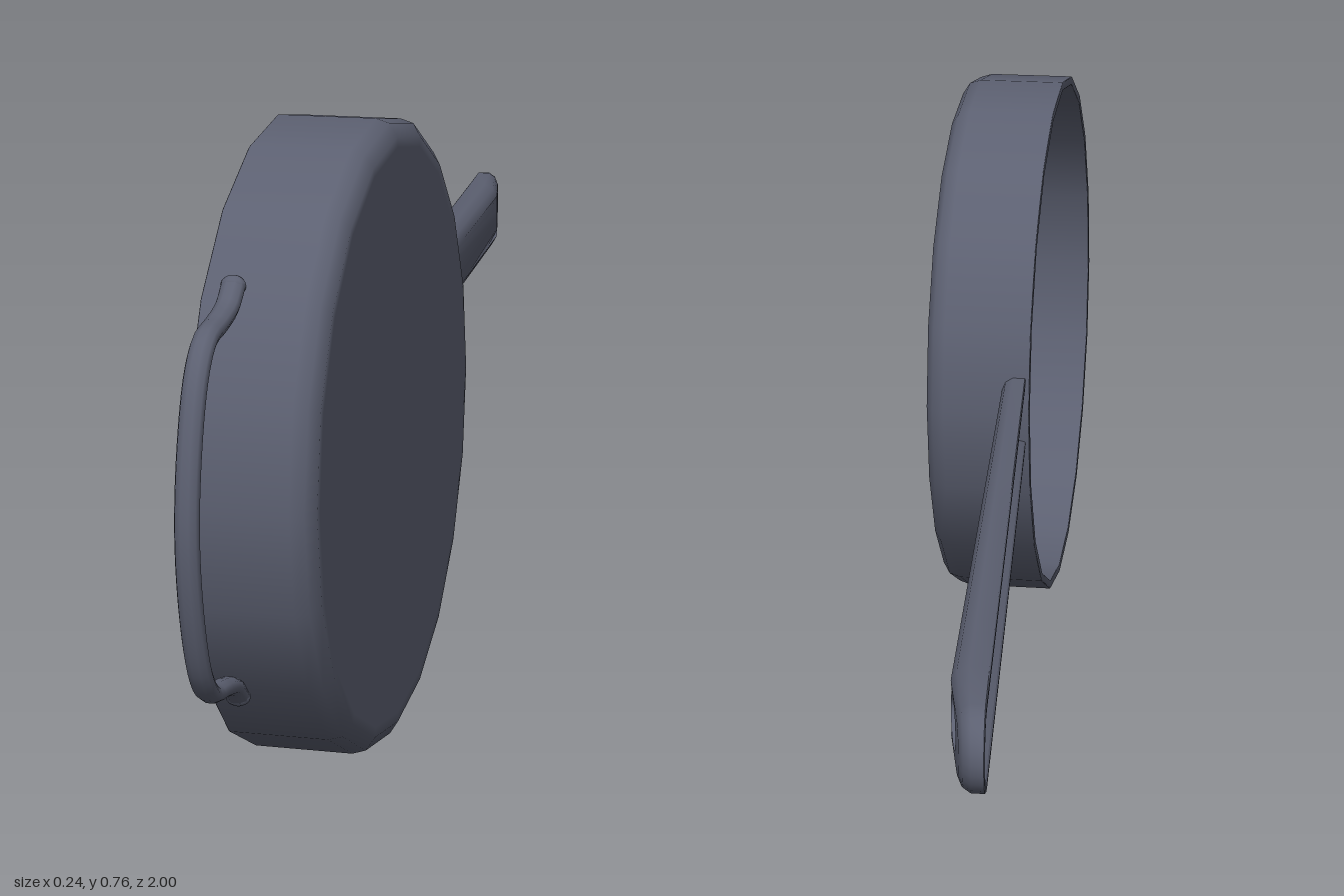
import * as THREE from 'three';
import { toCreasedNormals } from 'three/addons/utils/BufferGeometryUtils.js';

const CY = 0.38, CZ = 0.514; // centre of the pan disc

// Lathed body: inner floor, inner wall, rim, outer wall, rounded base
function panGeometry() {
  const profile = [
    [0, 0.106], [0.342, 0.106], [0.36, 0.098], [0.365, 0.085], [0.366, -0.024],
    [0.367, -0.025], [0.377, -0.025], [0.378, -0.024],
    [0.378, 0.094], [0.373, 0.11], [0.357, 0.12], [0.345, 0.12], [0, 0.12],
  ].map(([r, h]) => new THREE.Vector2(r, h));
  const geo = new THREE.LatheGeometry(profile, 20);
  geo.rotateZ(-Math.PI / 2);
  return geo;
}

// Long handle: closed loops around the outline, from the hanging hole out
// over the back, around the edge and into the channel
function handleGeometry() {
  const R = 0.05, capZ = -0.95, holeZ = -0.89;
  const straightZ = [0.15, 0, -0.25, -0.5, -0.72, -0.85];
  const outline = []; // [centre z, direction z, direction y, hole angle]
  straightZ.forEach((z, i) => outline.push([z, 0, -1, 0.1 + i * 0.27]));
  const CAP = 12;
  for (let i = 0; i <= CAP; i++) {
    const a = Math.PI * (0.5 + i / CAP);
    outline.push([capZ, Math.cos(a), -Math.sin(a), a]);
  }
  [...straightZ].reverse().forEach((z, i) => outline.push([z, 0, 1, Math.PI * 2 - 0.1 - (5 - i) * 0.27]));

  const edgeX = (z) => -0.02 - 0.103 * (0.14 - z) / 1.14;
  const thick = (z) => z > -0.85
    ? 0.033 + 0.012 * (0.14 - z) / 0.99
    : 0.045 - 0.018 * (-0.85 - z) / 0.15;

  // [inset from the outline, or null for the hole; depth as a share of thickness]
  const rings = [
    [null, 1], [0.018, 1], [0.006, 0.85], [0, 0.55], [0, 0.04],
    [0.002, 0], [0.007, 0], [0.009, 0.05], [0.012, 0.5], [0.018, 0.68], [null, 0.7],
  ];
  const pos = [], index = [], n = outline.length;
  for (const [inset, depth] of rings) {
    for (const [cz, dz, dy, a] of outline) {
      const z = inset === null ? holeZ + 0.041 * Math.cos(a) : cz + dz * (R - inset);
      const y = inset === null ? -0.029 * Math.sin(a) : dy * (R - inset);
      pos.push(edgeX(z) + thick(z) * depth, CY + y, z);
    }
  }
  for (let k = 0; k < rings.length; k++) {
    const k2 = (k + 1) % rings.length;
    for (let i = 0; i < n; i++) {
      const j = (i + 1) % n;
      const a = k * n + i, b = k * n + j, c = k2 * n + i, d = k2 * n + j;
      index.push(a, c, b, b, c, d);
    }
  }
  const geo = new THREE.BufferGeometry();
  geo.setAttribute('position', new THREE.Float32BufferAttribute(pos, 3));
  geo.setIndex(index);
  return toCreasedNormals(geo, 0.9);
}

export function createModel() {
  const group = new THREE.Group();
  const metal = new THREE.MeshStandardMaterial({ color: 0x5c6071 });
  metal.name = 'dark grey metal';
  const add = (name, geo, parent = group) => {
    const mesh = new THREE.Mesh(geo, metal);
    mesh.name = name;
    parent.add(mesh);
    return mesh;
  };

  add('panBody', panGeometry()).position.set(0, CY - 0.001, CZ);
  add('longHandle', handleGeometry());

  // Wire helper handle opposite the long one
  const helper = new THREE.Group();
  helper.name = 'helperHandle';
  helper.position.set(0.01, CY, 0);
  helper.scale.x = 1.3;
  group.add(helper);
  const half = [[0.812, 0.236], [0.835, 0.217], [0.875, 0.206], [0.917, 0.198], [0.947, 0.17], [0.975, 0.1]];
  const path = [...half, [0.989, 0], ...half.map(([z, y]) => [z, -y]).reverse()]
    .map(([z, y]) => new THREE.Vector3(0, y, z));
  add('loop', new THREE.TubeGeometry(new THREE.CatmullRomCurve3(path), 48, 0.011, 10), helper);
  for (const s of [1, -1]) {
    add('loopEnd', new THREE.SphereGeometry(0.0115, 10, 8), helper).position.set(0, 0.236 * s, 0.812);
  }
  return group;
}
